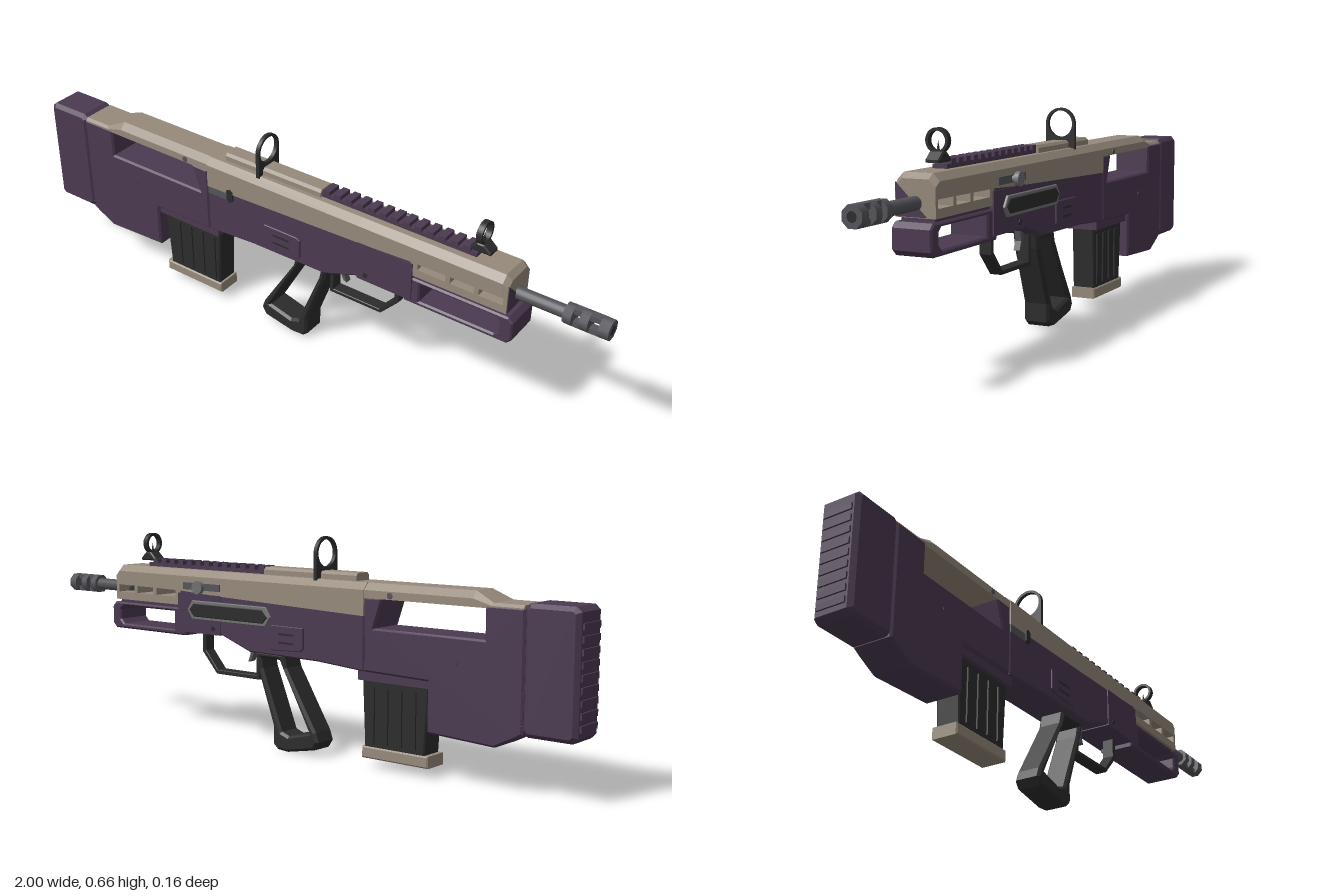
import * as THREE from 'three';

const material = (name, color) => {
  const m = new THREE.MeshStandardMaterial({ color });
  m.name = name;
  return m;
};

export function createModel() {
  const purple = material('purple shell', 0x4b3a51);
  const tan = material('tan shell', 0x968a7b);
  const black = material('black polymer', 0x2b2c2b);
  const steel = material('dark steel', 0x55545a);
  const grey = material('light steel', 0x717174);

  const root = new THREE.Group();
  root.name = 'bullpupProp';
  const model = new THREE.Group();
  model.name = 'body';
  model.position.z = 0.014;
  root.add(model);

  const add = (name, mat, geo, x = 0, y = 0, z = 0) => {
    const mesh = new THREE.Mesh(geo, mat);
    mesh.name = name;
    mesh.position.set(x, y, z);
    model.add(mesh);
    return mesh;
  };
  const toPoints = (pts) => pts.map(([x, y]) => new THREE.Vector2(x, y));
  const extrude = (shape, halfW, b) => new THREE.ExtrudeGeometry(shape, {
    depth: 2 * (halfW - b), bevelEnabled: b > 0, bevelThickness: b, bevelSize: b,
    bevelOffset: -b, bevelSegments: 1, curveSegments: 20,
  }).translate(0, 0, b - halfW);
  // side profile in x, y, given width with chamfered rims
  const slab = (name, mat, pts, halfW, b = 0, holes = [], z = 0) => {
    const shape = new THREE.Shape(toPoints(pts));
    holes.forEach((h) => shape.holes.push(new THREE.Path(toPoints(h))));
    return add(name, mat, extrude(shape, halfW, b), 0, 0, z);
  };
  // box given by its extents
  const box = (name, mat, x0, x1, y0, y1, z0, z1) => add(name, mat,
    new THREE.BoxGeometry(x1 - x0, y1 - y0, z1 - z0), (x0 + x1) / 2, (y0 + y1) / 2, (z0 + z1) / 2);
  const rect = (x0, x1, y0, y1) => [[x0, y0], [x1, y0], [x1, y1], [x0, y1]];
  // round part along the x or z axis
  const rod = (name, mat, axis, r, len, x, y, z, sides = 16) => {
    const geo = new THREE.CylinderGeometry(r, r, len, sides);
    geo.rotateY(Math.PI / sides);
    if (axis === 'x') geo.rotateZ(-Math.PI / 2); else geo.rotateX(Math.PI / 2);
    return add(name, mat, geo, x, y, z);
  };
  // lofted cover with chamfered top, rows: [x, bottom, top, half width, chamfer]
  const cover = (name, mat, rows) => {
    const rings = rows.map(([x, yb, yt, w, c]) => [[-w, yb], [-w, yt - c], [-w + c, yt],
      [w - c, yt], [w, yt - c], [w, yb]].map(([z, y]) => [x, y, z]));
    const v = [];
    for (let i = 0; i < rings.length - 1; i++) {
      for (let j = 0; j < 6; j++) {
        const k = (j + 1) % 6, A = rings[i], B = rings[i + 1];
        v.push(A[j], A[k], B[k], A[j], B[k], B[j]);
      }
    }
    const first = rings[0], last = rings[rings.length - 1];
    for (let j = 1; j < 5; j++) v.push(first[0], first[j + 1], first[j], last[0], last[j], last[j + 1]);
    const geo = new THREE.BufferGeometry();
    geo.setAttribute('position', new THREE.Float32BufferAttribute(v.flat(), 3));
    geo.computeVertexNormals();
    return add(name, mat, geo);
  };

  // butt pad with ribs on its rear face
  slab('buttPad', purple, [[-0.995, 0.18], [-0.98, 0.165], [-0.85, 0.165], [-0.835, 0.18],
    [-0.835, 0.505], [-0.85, 0.518], [-0.98, 0.518], [-0.995, 0.505]], 0.062, 0.012);
  for (let i = 0; i < 9; i++) {
    const y = 0.195 + i * 0.033;
    box('buttRib', purple, -1, -0.99, y, y + 0.018, -0.045, 0.045);
  }

  // rear stock with open window and sling slot
  slab('stock', purple, [[-0.84, 0.505], [-0.84, 0.17], [-0.815, 0.155], [-0.755, 0.125], [-0.54, 0.135],
    [-0.54, 0.28], [-0.32, 0.285], [-0.32, 0.5], [-0.385, 0.5], [-0.355, 0.412], [-0.72, 0.412],
    [-0.72, 0.505]], 0.062, 0.006, [rect(-0.832, -0.812, 0.2, 0.285)]);
  cover('cheekRest', tan, [[-0.835, 0.497, 0.512, 0.06, 0.008], [-0.74, 0.497, 0.512, 0.06, 0.008],
    [-0.68, 0.497, 0.54, 0.06, 0.02], [-0.318, 0.497, 0.54, 0.06, 0.02]]);

  // receiver
  slab('lowerReceiver', purple, [[-0.32, 0.285], [-0.15, 0.297], [0.12, 0.3], [0.24, 0.343],
    [0.42, 0.343], [0.42, 0.48], [-0.32, 0.48]], 0.061, 0.004);
  cover('upperReceiver', tan, [[-0.32, 0.445, 0.54, 0.063, 0.02], [0.24, 0.463, 0.54, 0.063, 0.02],
    [0.42, 0.472, 0.54, 0.063, 0.02], [0.705, 0.475, 0.54, 0.063, 0.02], [0.722, 0.475, 0.525, 0.06, 0.02]]);

  // vented strip under the front cover
  box('ventStrip', tan, 0.41, 0.722, 0.425, 0.45, -0.06, 0.06);
  for (const [a, b] of [[0.41, 0.44], [0.53, 0.545], [0.62, 0.635], [0.71, 0.722]]) {
    box('ventPost', tan, a, b, 0.445, 0.48, -0.06, 0.06);
  }
  slab('noseFacePanel', purple, [[-0.058, 0.515], [-0.058, 0.427], [0.034, 0.427]], 0.002)
    .rotation.y = Math.PI / 2;
  model.children[model.children.length - 1].position.x = 0.7225;

  // open handguard
  box('handguardBlock', purple, 0.24, 0.425, 0.34, 0.465, -0.064, 0.064);
  slab('handguard', purple, [[0.4, 0.327], [0.73, 0.327], [0.745, 0.342], [0.745, 0.4], [0.73, 0.415],
    [0.4, 0.415]], 0.06, 0.005, [[[0.45, 0.343], [0.69, 0.343], [0.705, 0.358], [0.705, 0.39],
    [0.69, 0.403], [0.45, 0.403]]]);
  box('handguardSpacer', purple, 0.42, 0.71, 0.41, 0.43, -0.05, 0.05);

  // top rail
  cover('railBase', tan, [[-0.27, 0.535, 0.563, 0.03, 0.008], [0.085, 0.535, 0.563, 0.03, 0.008]]);
  box('rail', purple, 0.085, 0.6, 0.535, 0.552, -0.022, 0.022);
  for (let i = 0; i < 13; i++) {
    box('railTooth', purple, 0.09 + i * 0.039, 0.112 + i * 0.039, 0.55, 0.565, -0.024, 0.024);
  }

  // rear sight: tall plate with a ring opening
  const sight = new THREE.Shape();
  sight.moveTo(-0.049, 0.535);
  sight.lineTo(0.049, 0.535);
  sight.lineTo(0.049, 0.614);
  sight.absarc(0, 0.614, 0.049, 0, Math.PI, false);
  sight.holes.push(new THREE.Path().absarc(0, 0.614, 0.041, 0, Math.PI * 2, true));
  add('rearSight', black, extrude(sight, 0.006, 0).rotateY(Math.PI / 2), -0.132);

  // front sight: ring, pin and foot
  const ring = new THREE.Shape().absarc(0, 0.614, 0.034, 0, Math.PI * 2, false);
  ring.holes.push(new THREE.Path().absarc(0, 0.614, 0.026, 0, Math.PI * 2, true));
  add('frontSightRing', black, extrude(ring, 0.009, 0).rotateY(Math.PI / 2), 0.607);
  slab('frontSightFoot', black, [[0.575, 0.558], [0.64, 0.558], [0.64, 0.566], [0.618, 0.586],
    [0.597, 0.586], [0.575, 0.566]], 0.022, 0.004);
  add('frontSightPin', black, new THREE.ConeGeometry(0.006, 0.035, 8), 0.607, 0.597, 0);

  // barrel and slotted muzzle
  rod('barrel', steel, 'x', 0.019, 0.19, 0.795, 0.463, 0);
  for (const [a, b] of [[0.868, 0.893], [0.915, 0.94], [0.97, 1]]) {
    rod('muzzleBand', steel, 'x', 0.031, b - a, (a + b) / 2, 0.463, 0, 8);
  }
  for (const s of [-1, 1]) {
    const y = 0.463 + s * 0.0205;
    box('muzzleBar', steel, 0.88, 0.98, y - 0.008, y + 0.008, -0.0128, 0.0128);
  }
  rod('muzzleBore', black, 'x', 0.014, 0.002, 0.9995, 0.463, 0);

  // magazine with ribs and base
  box('magazineWell', purple, -0.54, -0.295, 0.258, 0.288, -0.052, 0.052);
  slab('magazine', black, [[-0.53, 0.265], [-0.517, 0.06], [-0.31, 0.06], [-0.3, 0.265]], 0.038, 0.004);
  for (const s of [-1, 1]) {
    for (let i = 0; i < 4; i++) {
      const x = -0.49 + i * 0.048;
      box('magazineRib', black, x, x + 0.024, 0.075, 0.24, s * 0.04 - 0.003, s * 0.04 + 0.003);
    }
  }
  slab('magazineBase', tan, rect(-0.532, -0.302, 0.028, 0.063), 0.042, 0.004);

  // open grip
  slab('grip', black, [[0.0, 0.302], [0.115, 0.302], [0.108, 0.255], [0.042, 0.075], [0.042, 0.018],
    [0.025, 0.003], [-0.015, 0], [-0.12, 0.02], [-0.136, 0.045], [-0.125, 0.075], [-0.01, 0.26]].reverse(),
  0.042, 0.008, [[[0.018, 0.282], [0.092, 0.282], [0.085, 0.25], [0.008, 0.06], [-0.02, 0.05],
    [-0.1, 0.07]]]);

  // trigger and its guard
  slab('trigger', steel, [[0.14, 0.32], [0.165, 0.32], [0.16, 0.285], [0.17, 0.258], [0.158, 0.262],
    [0.148, 0.285]].reverse(), 0.01);
  slab('triggerGuard', black, [[0.115, 0.3], [0.115, 0.208], [0.298, 0.208], [0.36, 0.275], [0.36, 0.343],
    [0.345, 0.343], [0.345, 0.28], [0.293, 0.221], [0.128, 0.221], [0.128, 0.3]], 0.02, 0.002);

  // side panels, pins and latches on both sides
  for (const s of [-1, 1]) {
    slab('sidePanel', purple, [[-0.1, 0.33], [-0.09, 0.32], [0.025, 0.315], [0.035, 0.325], [0.035, 0.385],
      [0.025, 0.392], [-0.1, 0.392]], 0.006, 0.002, [], s * 0.061);
    for (let i = 0; i < 2; i++) {
      box('panelGroove', black, -0.065, -0.005, 0.338 + i * 0.026, 0.344 + i * 0.026, s * 0.067 - 0.001, s * 0.067 + 0.001);
    }
    rod('stockPin', steel, 'z', 0.009, 0.004, -0.41, 0.508, s * 0.06);
    rod('sidePin', purple, 'z', 0.009, 0.004, -0.63, 0.342, s * 0.062);
    rod('handguardPin', black, 'z', 0.008, 0.004, 0.27, 0.36, s * 0.064);
  }
  box('sideStrip', steel, -0.318, -0.23, 0.422, 0.448, 0.058, 0.0625);
  slab('sideLatch', black, [[-0.243, 0.425], [-0.232, 0.418], [-0.22, 0.425], [-0.22, 0.458],
    [-0.232, 0.465], [-0.243, 0.458]], 0.003, 0, [], 0.063);

  // ejection cover and charging knob on the far side
  const port = (g) => [[0.03 - g, 0.415], [0.05 - g, 0.39 - g], [0.35 + g, 0.39 - g], [0.37 + g, 0.415],
    [0.35 + g, 0.44 + g], [0.05 - g, 0.44 + g]];
  slab('portFrame', grey, port(0.005), 0.005, 0.002, [], -0.068);
  slab('portCover', black, port(-0.004), 0.004, 0.002, [], -0.071);
  box('chargingSlot', steel, 0.24, 0.4, 0.478, 0.5, -0.067, -0.06);
  rod('chargingShaft', grey, 'z', 0.01, 0.03, 0.315, 0.489, -0.068);
  rod('chargingKnob', grey, 'z', 0.021, 0.014, 0.315, 0.489, -0.085);

  return root;
}
